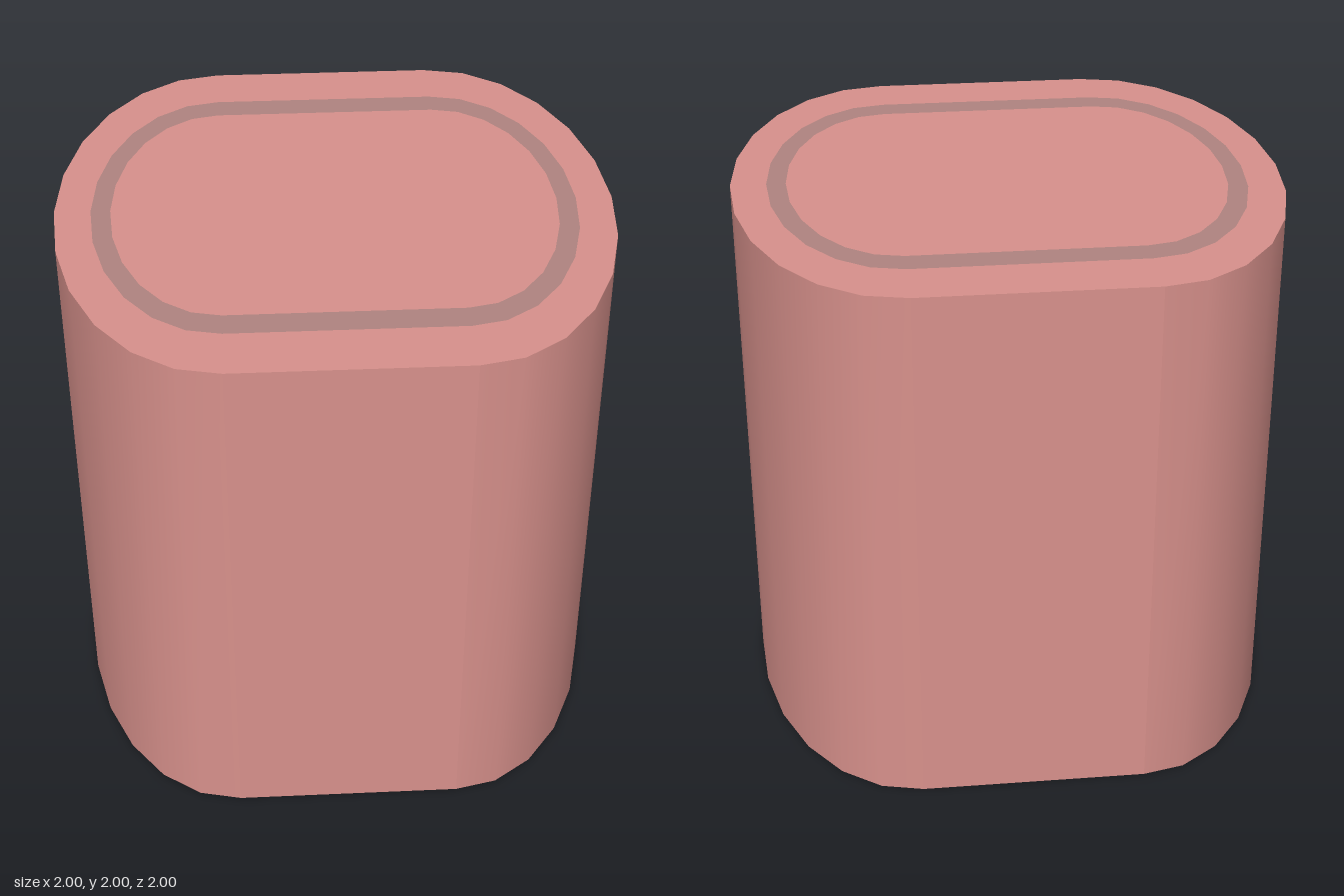
import * as THREE from 'three';
import { mergeGeometries } from 'three/addons/utils/BufferGeometryUtils.js';

const FLAT = 0.41; // half width of the straight sides
const HEIGHT = 2;
const STEPS = 12; // facets on each curved side

// Outline: two straight sides joined by half ellipses
function outline(reachX, reachZ) {
  const pts = [];
  for (const side of [1, -1]) {
    for (let i = 0; i <= STEPS; i++) {
      const a = (i / STEPS) * Math.PI - Math.PI / 2;
      pts.push(new THREE.Vector2(
        side * (FLAT + (reachX - FLAT) * Math.cos(a)),
        side * reachZ * Math.sin(a)));
    }
  }
  return pts;
}

// Horizontal face at height y, looking up, with an optional hole
function topFace(outer, hole, y) {
  const shape = new THREE.Shape(outer);
  if (hole) shape.holes.push(new THREE.Path(hole));
  return new THREE.ShapeGeometry(shape).rotateX(-Math.PI / 2).translate(0, y, 0);
}

export function createModel() {
  const model = new THREE.Group();
  const bodyMaterial = new THREE.MeshStandardMaterial({ color: 0xd8918c });
  const bandMaterial = new THREE.MeshStandardMaterial({ color: 0xb08480 });
  const add = (name, geometry, material) => {
    const mesh = new THREE.Mesh(geometry, material);
    mesh.name = name;
    model.add(mesh);
  };

  const body = outline(1, 1);
  const bandOuter = outline(0.87, 0.78);
  const bandInner = outline(0.8, 0.675);

  // Walls: a curved side and a straight side, each turned half round
  const walls = [];
  for (const turn of [0, Math.PI]) {
    const curved = new THREE.CylinderGeometry(1, 1, HEIGHT, STEPS, 1, true, 0, Math.PI);
    curved.scale(1 - FLAT, 1, 1).translate(FLAT, HEIGHT / 2, 0).rotateY(turn);
    curved.computeVertexNormals();
    const straight = new THREE.PlaneGeometry(2 * FLAT, HEIGHT);
    straight.translate(0, HEIGHT / 2, 1).rotateY(turn);
    walls.push(curved, straight);
  }
  add('walls', mergeGeometries(walls), bodyMaterial);

  // Bottom, and top with a flush inlaid band
  add('bottom', topFace(body, null, 0).rotateX(Math.PI), bodyMaterial);
  add('topRim', topFace(body, bandOuter, HEIGHT), bodyMaterial);
  add('topBand', topFace(bandOuter, bandInner, HEIGHT), bandMaterial);
  add('topCentre', topFace(bandInner, null, HEIGHT), bodyMaterial);

  return model;
}
